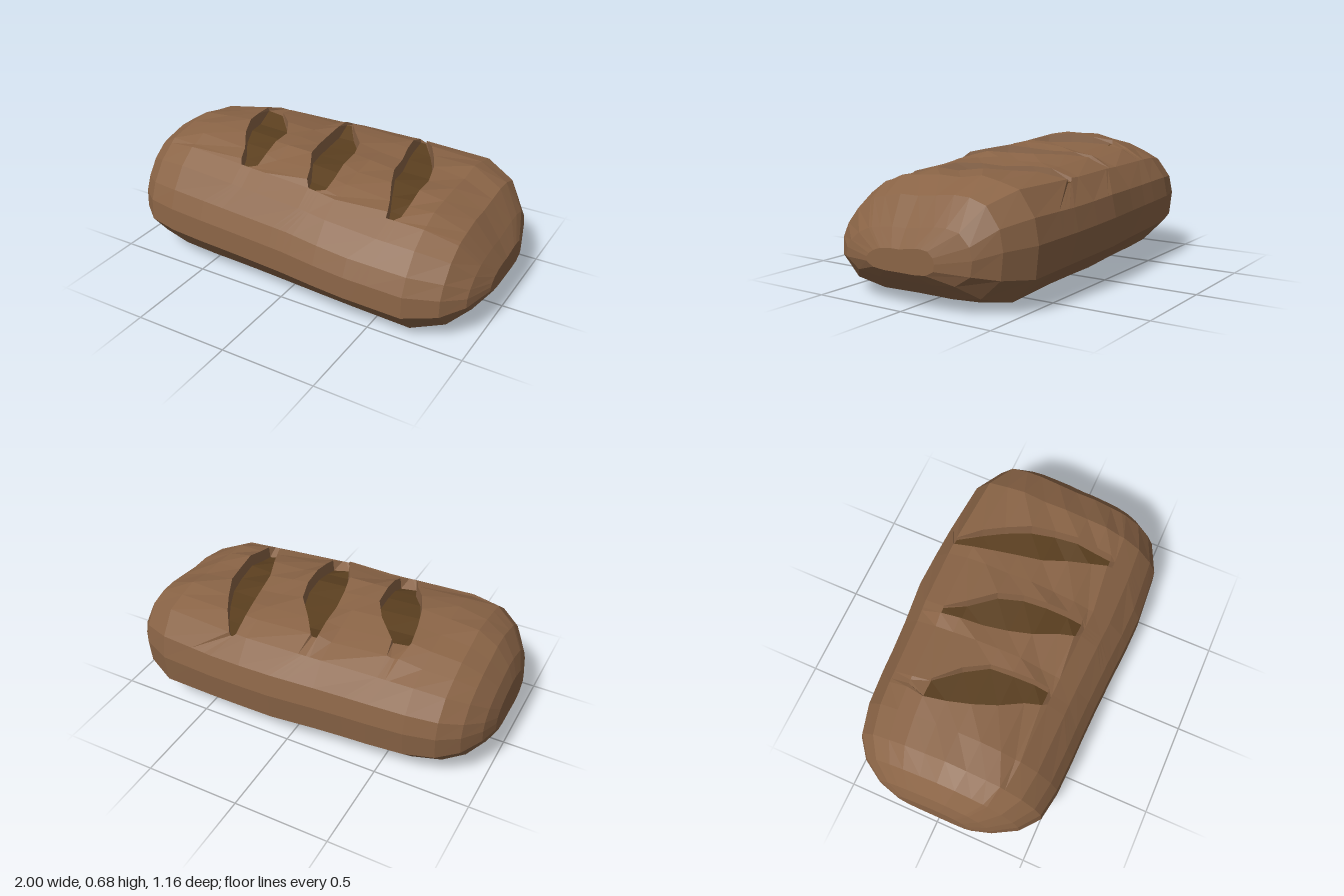
import * as THREE from 'three';

// Loaf outline along x: [x, back z, front z, bottom y, top y]
const OUTLINE = [
  [-1, -0.2, 0.21, 0.2, 0.41], [-0.97, -0.31, 0.31, 0.17, 0.5], [-0.9, -0.42, 0.43, 0.11, 0.6],
  [-0.8, -0.495, 0.51, 0.07, 0.66], [-0.62, -0.54, 0.54, 0.04, 0.69], [-0.25, -0.555, 0.545, 0.035, 0.66],
  [0.05, -0.585, 0.56, 0.03, 0.65], [0.35, -0.58, 0.58, 0.03, 0.61], [0.7, -0.55, 0.555, 0, 0.595],
  [0.86, -0.47, 0.48, 0.05, 0.52], [0.95, -0.37, 0.37, 0.13, 0.38], [1, -0.2, 0.2, 0.18, 0.29],
];

// Cross-section ring: [z fraction, y fraction], from the bottom up the front and down the back
const RING = [
  [0, 0.01], [0.45, 0], [0.8, 0.06], [1, 0.27], [0.99, 0.46], [0.92, 0.61], [0.78, 0.78], [0.61, 0.89],
  [0.56, 0.91], [0.42, 0.94], [0.22, 0.98], [0, 0.98], [-0.22, 0.97], [-0.44, 0.96], [-0.62, 0.93], [-0.81, 0.86],
  [-0.96, 0.68], [-1, 0.5], [-0.97, 0.26], [-0.74, 0.06], [-0.4, 0.01],
];
const TOP_FIRST = 6, TOP_LAST = 15;

// Slashes: [left x, right x] at each ring point from the front end to the back end
const FRONT_END = 8;
const SLASHES = [
  { mid: -0.4, edges: [[-0.35, -0.25], [-0.38, -0.25], [-0.45, -0.26], [-0.5, -0.27], [-0.53, -0.34], [-0.55, -0.45]] },
  { mid: 0.03, edges: [[0.05, 0.16], [0.02, 0.16], [-0.04, 0.15], [-0.07, 0.14], [-0.09, 0.1], [-0.1, 0], [-0.11, -0.07]] },
  { mid: 0.46, edges: [[0.5, 0.57], [0.47, 0.57], [0.42, 0.57], [0.37, 0.56], [0.35, 0.53], [0.32, 0.47], [0.3, 0.41], [0.29, 0.33]] },
];

function outlineAt(x) {
  let k = 0;
  while (k < OUTLINE.length - 2 && x > OUTLINE[k + 1][0]) k++;
  const a = OUTLINE[k], b = OUTLINE[k + 1], t = (x - a[0]) / (b[0] - a[0]);
  return a.map((v, n) => v + (b[n] - v) * t);
}

// Seeded unevenness for the hand-shaped crust
function wobble(a, b) {
  const s = Math.sin(a * 12.9898 + b * 78.233) * 43758.5453;
  return (s - Math.floor(s)) * 2 - 1;
}

function crustPoint(x, i, drop = 0) {
  const [, back, front, bottom, top] = outlineAt(x);
  const [zf, yf] = RING[i];
  const z = zf * (zf > 0 ? front : -back);
  const rough = yf > 0.9 && Math.abs(x) < 0.85 ? 0.01 * wobble(Math.round(x * 20), i) : 0;
  // The back shoulder rises towards +x and sinks towards -x
  const lean = z < 0 ? -0.2 * x * z * yf * yf : 0;
  return new THREE.Vector3(x, bottom + yf * (top - bottom) + lean + rough - drop, z);
}

// Plain section across the loaf
const plainSection = (x) => ({ points: RING.map((_, i) => crustPoint(x, i)) });

// Four sections per slash: left lip, left floor, right floor, right lip
function slashSections({ mid, edges }) {
  const last = FRONT_END + edges.length - 1;
  return [0, 1, 2, 3].map((k) => ({
    floorEnd: k === 1 ? last : 0,
    points: RING.map((_, i) => {
      if (i >= FRONT_END && i <= last) {
        const [l, r] = edges[i - FRONT_END];
        const inset = Math.min(0.006, (r - l) / 4);
        const x = [l, l + inset, r - inset, r][k];
        const depth = i === last ? 0.015 : 0.06;
        return crustPoint(x, i, k === 1 || k === 2 ? depth : -0.005);
      }
      // Beyond the slash the sections close up around its end
      const near = i < FRONT_END ? edges[0] : edges[edges.length - 1];
      const onTop = i >= TOP_FIRST && i <= TOP_LAST;
      const centre = onTop ? (near[0] + near[1]) / 2 : mid;
      return crustPoint(centre + (k - 1.5) * (onTop ? 0.02 : 0.04), i);
    }),
  }));
}

function facetedMesh(name, points, color) {
  const geometry = new THREE.BufferGeometry().setFromPoints(points);
  geometry.computeVertexNormals();
  const mesh = new THREE.Mesh(geometry, new THREE.MeshStandardMaterial({ color, flatShading: true }));
  mesh.name = name;
  return mesh;
}

export function createModel() {
  const sections = [
    ...[-1, -0.97, -0.9, -0.8, -0.65].map(plainSection),
    ...slashSections(SLASHES[0]), plainSection(-0.18),
    ...slashSections(SLASHES[1]), plainSection(0.23),
    ...slashSections(SLASHES[2]),
    ...[0.7, 0.86, 0.95, 1].map(plainSection),
  ];
  const crust = [], floors = [];
  const n = RING.length;

  // Skin between neighbouring sections; slash floors go to their own mesh
  for (let j = 0; j < sections.length - 1; j++) {
    const { points: p, floorEnd } = sections[j];
    const q = sections[j + 1].points;
    for (let i = 0; i < n; i++) {
      const m = (i + 1) % n;
      const target = floorEnd && i >= FRONT_END && i < floorEnd ? floors : crust;
      target.push(p[i], q[i], q[m], p[i], q[m], p[m]);
    }
  }

  // End caps
  const centre = (pts) => pts.reduce((s, v) => s.add(v), new THREE.Vector3()).divideScalar(n);
  const left = sections[0].points, right = sections[sections.length - 1].points;
  const leftCentre = centre(left), rightCentre = centre(right);
  for (let i = 0; i < n; i++) {
    const m = (i + 1) % n;
    crust.push(leftCentre, left[i], left[m], rightCentre, right[m], right[i]);
  }

  const loaf = new THREE.Group();
  loaf.name = 'breadLoaf';
  loaf.add(facetedMesh('crust', crust, 0x8a6446), facetedMesh('slashFloors', floors, 0x5c4020));
  return loaf;
}
